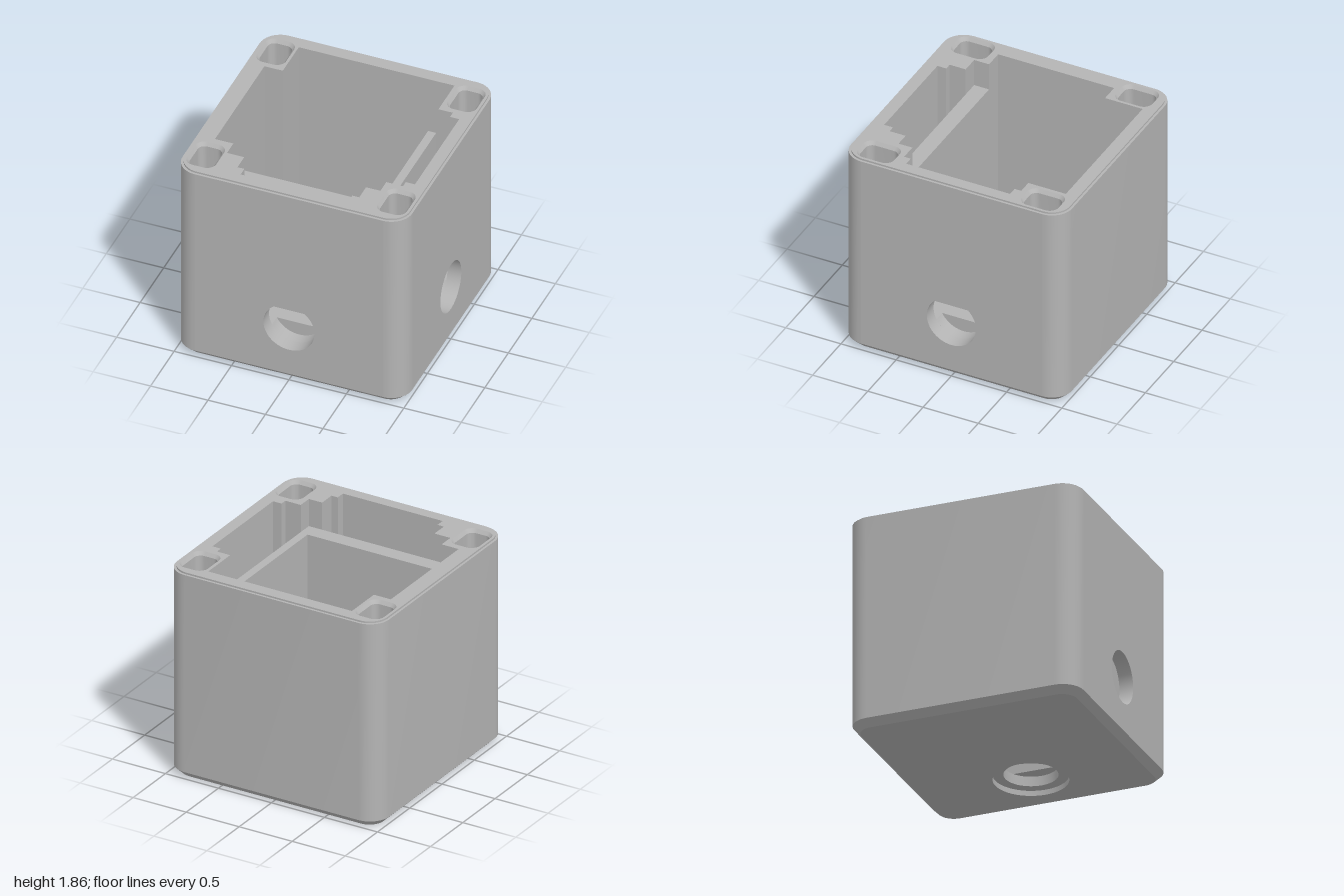
import * as THREE from 'three';
import { toCreasedNormals } from 'three/addons/utils/BufferGeometryUtils.js';

const grey = new THREE.MeshStandardMaterial({ color: 0xb4b4b4, side: THREE.DoubleSide });
grey.name = 'grey plastic';

// Key heights
const TOP = 1.855, SHOULDER = 1.84, CHAMFER = 0.06, LEDGE = 1.61, SHELF = 0.42, FLOOR = 0.13;
// Side opening
const HOLE_Y = 0.525, HOLE_R = 0.2225;

function add(group, name, geometry) {
  const mesh = new THREE.Mesh(geometry, grey);
  mesh.name = name;
  group.add(mesh);
  return mesh;
}

function arc(cx, cy, r, a0, a1, n) {
  return Array.from({ length: n + 1 }, (_, i) => {
    const a = a0 + (a1 - a0) * i / n;
    return [cx + r * Math.cos(a), cy + r * Math.sin(a)];
  });
}
const circle = (cx, cy, r) => arc(cx, cy, r, 0, Math.PI * 2, 48).slice(0, -1);

// Rounded rectangle outline, starting at the +x side and ending back there
function rounded(cx, cz, hx, hz, r) {
  return [[1, 1, 0], [-1, 1, 1], [-1, -1, 2], [1, -1, 3]].flatMap(([sx, sz, q]) =>
    arc(cx + sx * (hx - r), cz + sz * (hz - r), r, q * Math.PI / 2, (q + 1) * Math.PI / 2, 10));
}
const rect = (x0, z0, x1, z1) => [[x0, z0], [x1, z0], [x1, z1], [x0, z1]];
const atY = (pts, y) => pts.map(([x, z]) => [x, y, z]);
const atZ = (pts, z) => pts.map(([x, y]) => [x, y, z]);

// Surface stretched between two matching outlines
function loft(a, b, closed = true) {
  const n = a.length, index = [];
  for (let i = 0; i < (closed ? n : n - 1); i++) {
    const j = (i + 1) % n;
    index.push(i, n + i, j, j, n + i, n + j);
  }
  const g = new THREE.BufferGeometry();
  g.setAttribute('position', new THREE.Float32BufferAttribute([...a, ...b].flat(), 3));
  g.setIndex(index);
  return toCreasedNormals(g, 0.5);
}
const band = (pts, y0, y1, closed = true) => loft(atY(pts, y0), atY(pts, y1), closed);

function face(pts, holes = []) {
  const vec = list => list.map(([x, y]) => new THREE.Vector2(x, y));
  const shape = new THREE.Shape(vec(pts));
  shape.holes = holes.map(h => new THREE.Path(vec(h)));
  return new THREE.ShapeGeometry(shape);
}
// Horizontal face at height y
function cap(pts, holes, y, up = true) {
  const s = up ? 1 : -1, turn = list => list.map(([x, z]) => [x, -s * z]);
  return face(turn(pts), holes.map(turn)).rotateX(-s * Math.PI / 2).translate(0, y, 0);
}
function block(group, name, x0, x1, y0, y1, z0, z1) {
  add(group, name, new THREE.BoxGeometry(x1 - x0, y1 - y0, z1 - z0))
    .position.set((x0 + x1) / 2, (y0 + y1) / 2, (z0 + z1) / 2);
}

// Outer wall with its round opening and the slot behind it, facing +z
function makeSlotWall() {
  const g = new THREE.Group();
  const a = Math.asin((HOLE_Y - SHELF) / HOLE_R), c = HOLE_R * Math.cos(a);
  const over = arc(0, HOLE_Y, HOLE_R, Math.PI + a, -a, 36);
  const under = arc(0, HOLE_Y, HOLE_R, Math.PI + a, 2 * Math.PI - a, 20);
  const ring = circle(0, HOLE_Y, HOLE_R);
  add(g, 'outerWall', face(rect(-0.82, CHAMFER, 0.82, SHOULDER), [ring]).translate(0, 0, 1));
  add(g, 'openingTube', loft(atZ(ring, 1), atZ(ring, 0.88)));
  add(g, 'slotOuterWall', face([[-0.47, SHELF], ...over, [0.47, SHELF], [0.47, LEDGE], [-0.47, LEDGE]])
    .translate(0, 0, 0.88));
  // Trough where the opening cuts into the slot floor
  add(g, 'trough', loft(atZ(under, 0.88), atZ(under, 0.78), false));
  add(g, 'troughEnd', face(under).translate(0, 0, 0.78));
  add(g, 'slotFloor', cap([[-0.53, 0.655], [0.53, 0.655], [0.53, 0.8], [0.47, 0.8], [0.47, 0.88],
    [c, 0.88], [c, 0.78], [-c, 0.78], [-c, 0.88], [-0.47, 0.88], [-0.47, 0.8], [-0.53, 0.8]], [], SHELF));
  add(g, 'slotWalls', band([[0.47, 0.88], [0.47, 0.8], [0.53, 0.8], [0.53, 0.655],
    [-0.53, 0.655], [-0.53, 0.8], [-0.47, 0.8], [-0.47, 0.88]], SHELF, LEDGE, false));
  return g;
}

export function createModel() {
  const model = new THREE.Group();
  model.name = 'openEnclosure';

  // Outer shell
  const outline = rounded(0, 0, 1, 1, 0.18);
  const lip = rounded(0, 0, 0.98, 0.98, 0.165);
  const foot = rounded(0, 0, 0.94, 0.94, 0.13);
  add(model, 'frontRightCorner', band(outline.slice(0, 11), CHAMFER, SHOULDER, false));
  add(model, 'backAndSideWalls', band(outline.slice(11), CHAMFER, SHOULDER, false));
  add(model, 'bottomChamfer', loft(atY(foot, 0), atY(outline, CHAMFER)));
  add(model, 'shoulder', cap(outline, [lip], SHOULDER));
  add(model, 'lip', band(lip, SHOULDER, TOP));

  const front = makeSlotWall();
  front.name = 'frontSlotWall';
  const side = makeSlotWall();
  side.name = 'sideSlotWall';
  side.rotation.y = Math.PI / 2;
  model.add(front, side);

  // Upper cavity outline and deep cavity outline
  const upper = [[-0.68, -0.87], [0.675, -0.87], [0.675, -0.53], [0.8, -0.53], [0.8, -0.47], [0.88, -0.47],
    [0.88, 0.47], [0.8, 0.47], [0.8, 0.53], [0.655, 0.53], [0.655, 0.655], [0.53, 0.655], [0.53, 0.8],
    [0.47, 0.8], [0.47, 0.88], [-0.47, 0.88], [-0.47, 0.8], [-0.53, 0.8], [-0.53, 0.655],
    [-0.68, 0.655], [-0.68, 0.52], [-0.84, 0.52], [-0.84, -0.53], [-0.68, -0.53]];
  const deep = [[-0.68, -0.87], [0.675, -0.87], [0.675, -0.53], [0.585, -0.53], [0.585, 0.52],
    [-0.84, 0.52], [-0.84, -0.53], [-0.68, -0.53]];
  add(model, 'upperCavityWalls', band(upper, LEDGE, TOP));
  add(model, 'deepCavityWalls', band(deep, FLOOR, LEDGE));
  add(model, 'frontLedge', cap(rect(-0.68, 0.52, 0.655, 0.655), [], LEDGE));
  add(model, 'sideLedge', cap(rect(0.585, -0.53, 0.655, 0.52), [], LEDGE));

  // Corner pockets with chamfered mouths
  const mouths = [];
  for (const sx of [-1, 1]) for (const sz of [-1, 1]) {
    const x = sx * 0.83, z = sz * 0.743;
    const mouth = rounded(x, z, 0.127, 0.165, 0.08);
    const inner = rounded(x, z, 0.104, 0.142, 0.06);
    mouths.push(mouth);
    add(model, 'pocketChamfer', loft(atY(mouth, TOP), atY(inner, TOP - 0.03)));
    add(model, 'pocketWalls', band(inner, TOP - 0.35, TOP - 0.03));
    add(model, 'pocketFloor', cap(inner, [], TOP - 0.35));
  }
  add(model, 'topRim', cap(lip, [upper, ...mouths], TOP));

  // Bottom with a counterbored opening, partly covered by the inner wall
  const bore = circle(0.48, 0, 0.31), drain = circle(0.48, 0, 0.2225);
  add(model, 'bottom', cap(foot, [bore], 0, false));
  add(model, 'counterbore', band(bore, 0, 0.045));
  add(model, 'counterboreRing', cap(bore, [drain], 0.045, false));
  add(model, 'bottomOpening', band(drain, 0.045, FLOOR));
  const a = Math.acos(0.105 / 0.2225);
  add(model, 'cavityFloor', cap(rect(-0.84, -0.53, 0.75, 0.52),
    [arc(0.48, 0, 0.2225, a, 2 * Math.PI - a, 40)], FLOOR));

  // Raised details on the cavity floor
  block(model, 'backShelf', -0.68, 0.675, FLOOR, 0.3, -0.87, -0.53);
  block(model, 'leftPost', -0.68, -0.585, 0.3, 0.42, -0.74, -0.53);
  block(model, 'rightPost', 0.58, 0.675, 0.3, 0.42, -0.74, -0.53);
  block(model, 'backRail', -0.84, 0.585, FLOOR, 0.25, -0.53, -0.48);
  block(model, 'frontRail', -0.84, 0.585, FLOOR, 0.25, 0.46, 0.52);
  const boss = [[0.205, 0], [0.205, 0.1], [0.095, 0.1], [0.095, 0.01], [0, 0.01]]
    .map(([r, y]) => new THREE.Vector2(r, y));
  add(model, 'screwBoss', toCreasedNormals(new THREE.LatheGeometry(boss, 40), 0.5))
    .position.set(-0.345, FLOOR, -0.01);

  return model;
}
